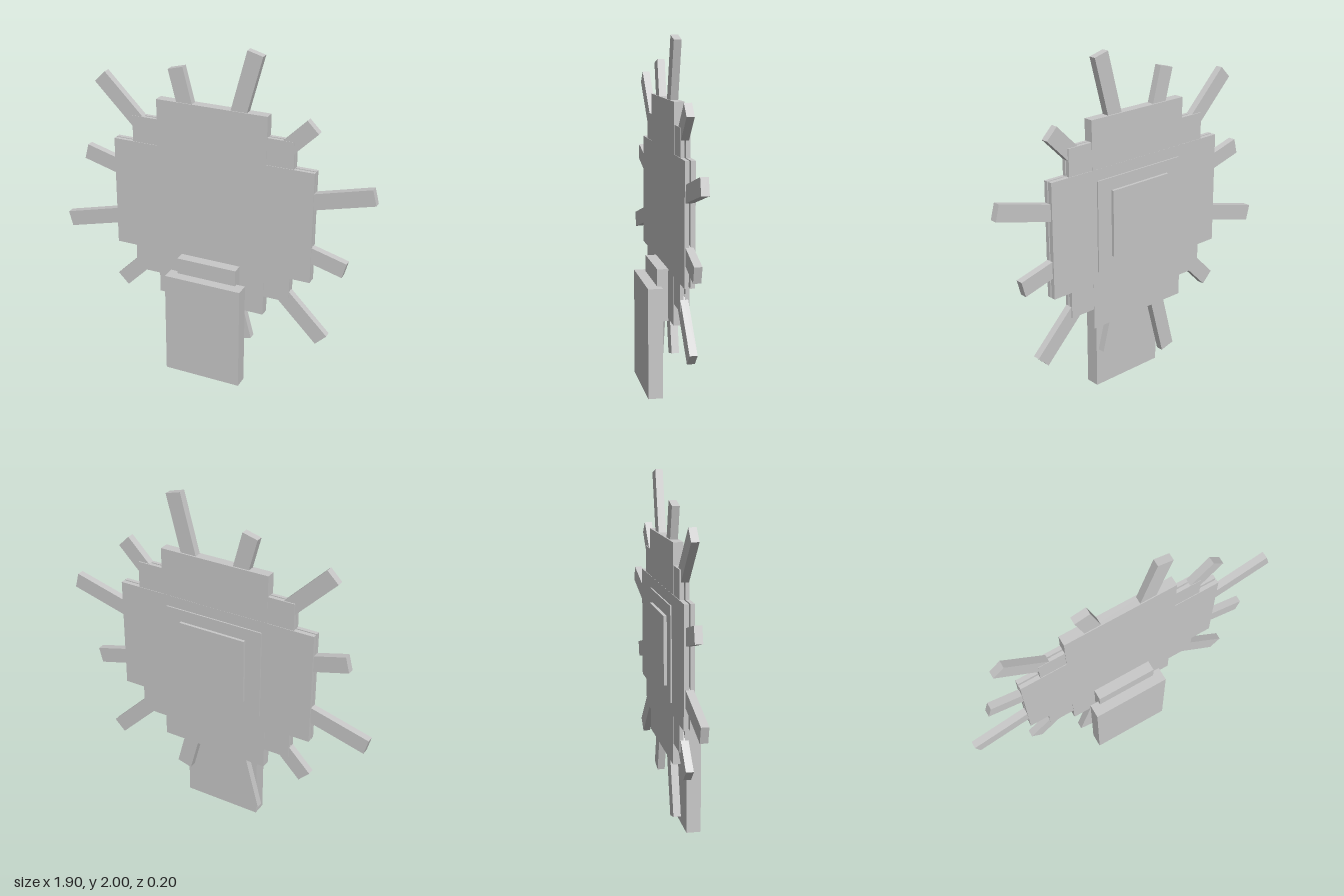
import * as THREE from 'three';

const CENTER_Y = 1.051;

export function createModel() {
  const model = new THREE.Group();
  model.name = 'sunburstOnStand';
  const grey = new THREE.MeshStandardMaterial({ color: 0xc8c8c8 });
  grey.name = 'light grey';

  // Box given by its limits on each axis
  function slab(name, x0, x1, y0, y1, z0, z1, parent = model) {
    const mesh = new THREE.Mesh(new THREE.BoxGeometry(x1 - x0, y1 - y0, z1 - z0), grey);
    mesh.position.set((x0 + x1) / 2, (y0 + y1) / 2, (z0 + z1) / 2);
    mesh.name = name;
    parent.add(mesh);
  }

  // Slab centred on the disc, given by half width and half height
  function discSlab(name, w, h, z0, z1) {
    slab(name, -w, w, CENTER_Y - h, CENTER_Y + h, z0, z1);
  }

  // Stepped disc: a solid tall slab crossed by two wider, slit ones
  discSlab('tallSlab', 0.33, 0.605, -0.076, -0.02);
  discSlab('middleFrontPlate', 0.485, 0.485, -0.043, -0.023);
  discSlab('middleBackPlate', 0.485, 0.485, -0.074, -0.051);
  discSlab('wideFrontPlate', 0.605, 0.33, -0.043, -0.02);
  discSlab('wideBackPlate', 0.605, 0.33, -0.077, -0.051);

  // Raised plates on the back
  discSlab('backPanel', 0.30, 0.265, -0.085, -0.07);
  discSlab('backBoss', 0.205, 0.193, -0.102, -0.08);

  // Twelve rays, alternately long and short
  const rays = new THREE.Group();
  rays.name = 'rays';
  rays.position.y = CENTER_Y;
  model.add(rays);
  for (let i = 0; i < 12; i++) {
    const long = i % 2 === 0;
    const arm = new THREE.Group();
    arm.name = long ? 'longRay' : 'shortRay';
    arm.rotation.z = THREE.MathUtils.degToRad(15 + 30 * i);
    slab('rayBar', 0.4, long ? 0.969 : 0.825, -0.046, 0.046, -0.067, -0.025, arm);
    rays.add(arm);
  }

  // Stand in front, joined to the disc by a neck
  slab('neck', -0.183, 0.183, 0.43, 0.727, -0.022, 0.042);
  slab('stand', -0.235, 0.235, 0, 0.63, 0.02, 0.102);

  return model;
}
